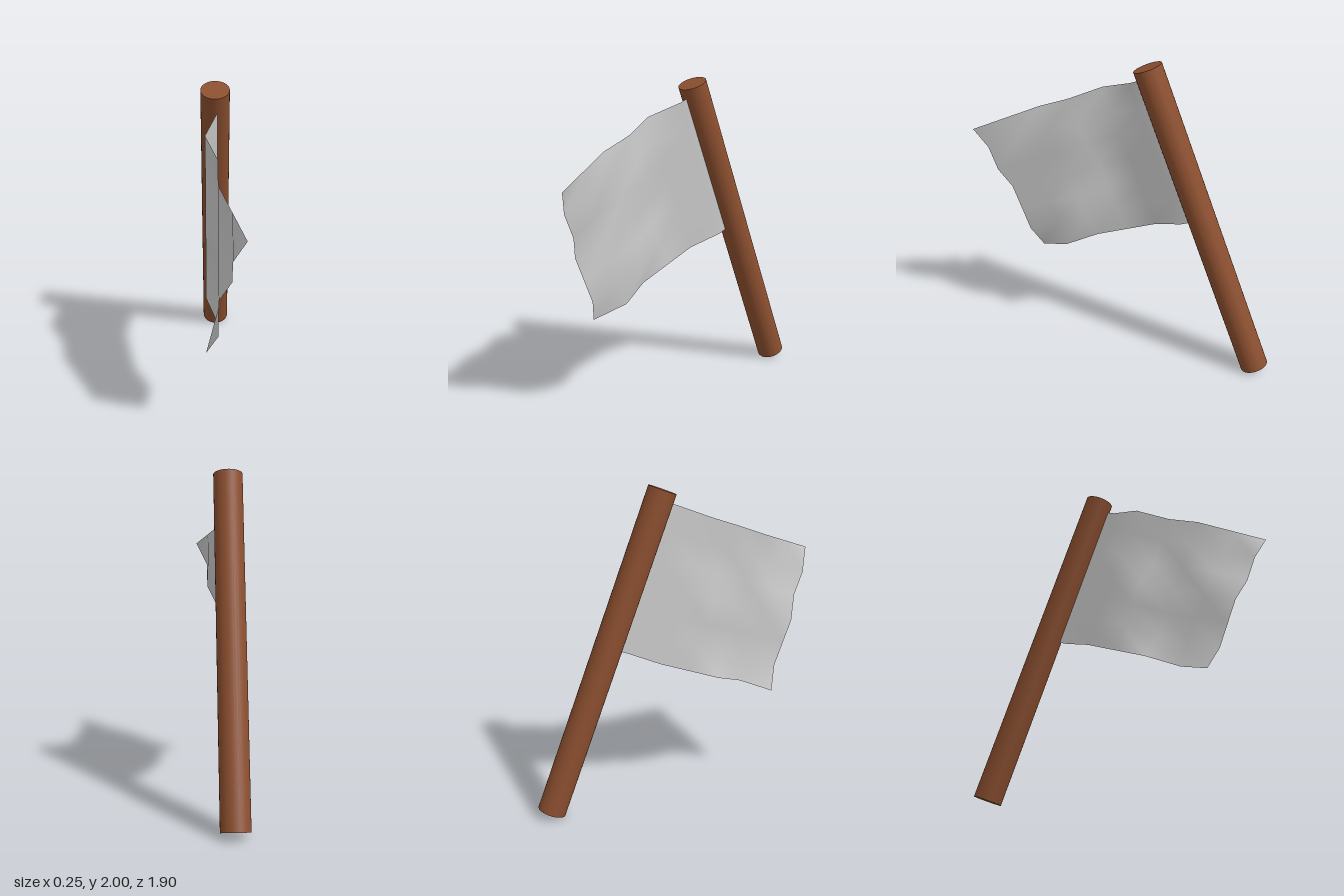
import * as THREE from 'three';

// Sideways ripple of the cloth in steps: rows run top to bottom, columns from the free edge to the pole
const RIPPLE = [
  [3, 2, 1, 1, 0, 1, 1],
  [2, 2, 1, 1, 0, 1, 1],
  [2, 1, 1, 1, 0, 1, 1],
  [1, 1, 1, 0, 0, 1, 1],
  [1, 1, 1, 0, 0, 1, 1],
  [1, 1, 1, 0, 0, 1, 1],
  [0, 1, 0, 0, 0, 1, 1],
];

function createPole() {
  const pole = new THREE.Mesh(
    new THREE.CylinderGeometry(0.087, 0.087, 2.08, 32),
    new THREE.MeshStandardMaterial({ color: 0x8c4f2f })
  );
  pole.name = 'pole';
  return pole;
}

function createCloth() {
  const n = 6, top = 0.98, height = 0.94, outer = 1.171, width = 1.242;
  const geometry = new THREE.PlaneGeometry(1, 1, n, n);
  const position = geometry.attributes.position;
  // Stand the sheet in the pole's plane and push each point sideways
  for (let row = 0; row <= n; row++) {
    for (let col = 0; col <= n; col++) {
      position.setXYZ(
        row * (n + 1) + col,
        -0.06 + 0.073 * RIPPLE[row][col],
        top - (height * row) / n,
        outer - (width * col) / n
      );
    }
  }
  geometry.computeVertexNormals();
  const cloth = new THREE.Mesh(
    geometry,
    new THREE.MeshStandardMaterial({ color: 0xcccccc, side: THREE.DoubleSide })
  );
  cloth.name = 'flagCloth';
  return cloth;
}

export function createModel() {
  const model = new THREE.Group();
  model.name = 'flag';

  // Pole and cloth lean forward together
  const leaning = new THREE.Group();
  leaning.name = 'leaningFlag';
  leaning.position.set(-0.04, 1, -0.495);
  leaning.rotation.x = 0.369;
  leaning.add(createPole(), createCloth());

  model.add(leaning);
  return model;
}
